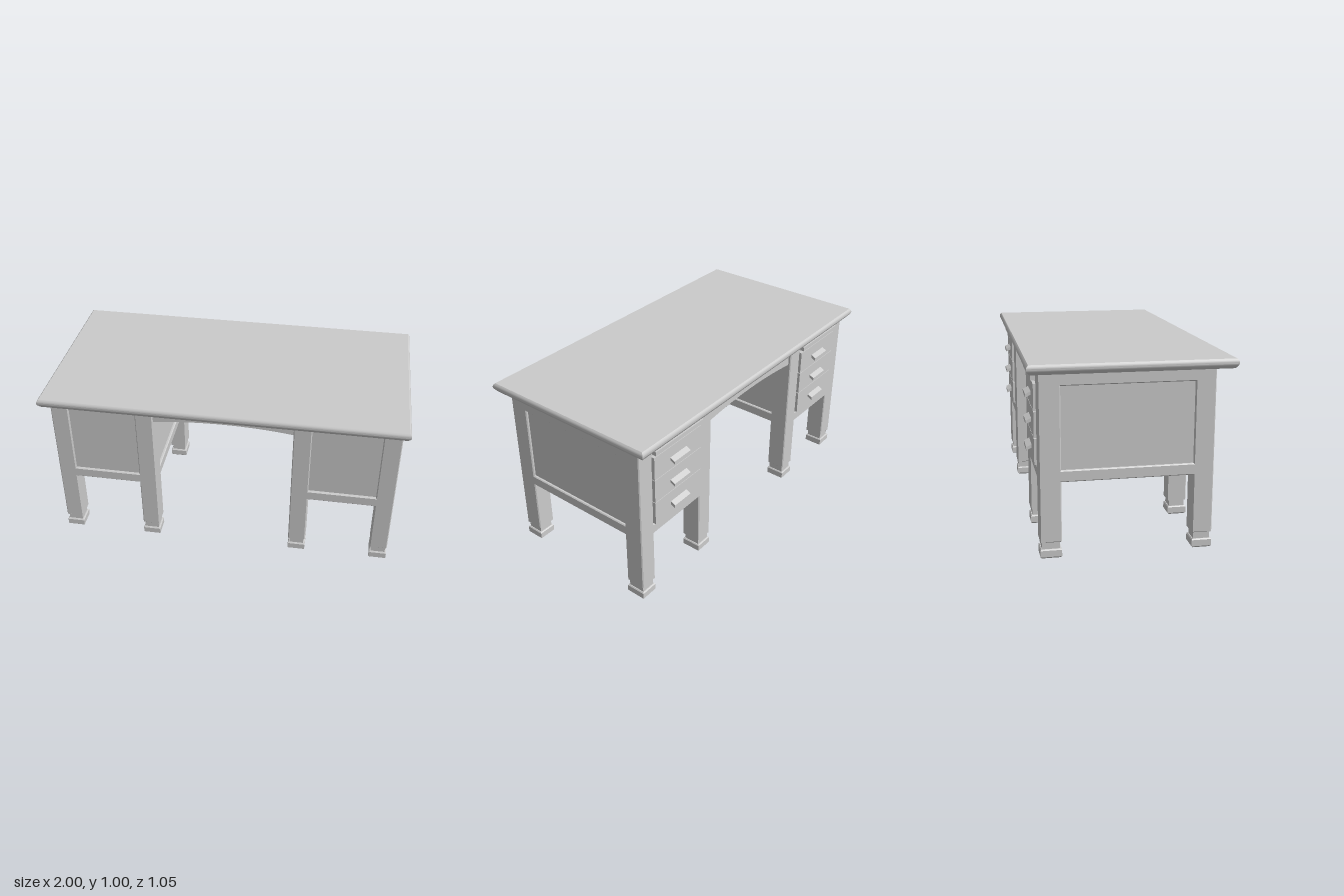
import * as THREE from 'three';
import { toCreasedNormals } from 'three/addons/utils/BufferGeometryUtils.js';

const material = new THREE.MeshStandardMaterial({ color: 0xcccccc });

function add(parent, name, geometry, x = 0, y = 0, z = 0) {
  const mesh = new THREE.Mesh(geometry, material);
  mesh.name = name;
  mesh.position.set(x, y, z);
  parent.add(mesh);
  return mesh;
}

// Box given by its extents
function addBox(parent, name, x0, x1, y0, y1, z0, z1) {
  return add(parent, name, new THREE.BoxGeometry(x1 - x0, y1 - y0, z1 - z0),
    (x0 + x1) / 2, (y0 + y1) / 2, (z0 + z1) / 2);
}

// Rectangular block with a moulded edge; profile is [inset, y] from bottom to top
function mouldedBlock(w, d, profile) {
  const k = Math.min(w, d) / 4;
  const pts = profile.map(([inset, y]) => new THREE.Vector2((k - inset) * Math.SQRT2, y));
  pts.unshift(new THREE.Vector2(0, profile[0][1]));
  pts.push(new THREE.Vector2(0, profile[profile.length - 1][1]));
  const g = new THREE.LatheGeometry(pts, 4, Math.PI / 4);
  const p = g.attributes.position;
  for (let i = 0; i < p.count; i++) {
    const x = p.getX(i), z = p.getZ(i);
    if (Math.hypot(x, z) < 1e-6) continue;
    p.setXYZ(i, x + Math.sign(x) * (w / 2 - k), p.getY(i), z + Math.sign(z) * (d / 2 - k));
  }
  return toCreasedNormals(g, 0.6);
}

const LEG_Y = 0.085, RAIL_Y = 0.4, TOP_Y = 0.95;
const FRONT = 0.42, BACK = -0.47, HALF = 0.29;   // pedestal extents
const LEG_X = 0.1, LEG_F = 0.105, LEG_B = 0.11;  // leg sizes

// One face of a pedestal: two legs joined by rails around an opening
function frameGeometry(u0, u1, a, b) {
  const bevel = 0.005, thick = 0.03;
  const s = new THREE.Shape([
    [u0, LEG_Y], [u0 + a, LEG_Y], [u0 + a, RAIL_Y], [u1 - b, RAIL_Y],
    [u1 - b, LEG_Y], [u1, LEG_Y], [u1, TOP_Y], [u0, TOP_Y],
  ].map(p => new THREE.Vector2(...p)));
  s.holes.push(new THREE.Path([
    [u0 + a, 0.46], [u0 + a, 0.885], [u1 - b, 0.885], [u1 - b, 0.46],
  ].map(p => new THREE.Vector2(...p))));
  const g = new THREE.ExtrudeGeometry(s, {
    depth: thick - 2 * bevel, bevelSize: bevel, bevelThickness: bevel,
    bevelOffset: -bevel, bevelSegments: 1,
  });
  return g.translate(0, 0, bevel - thick); // outer face at z = 0
}

function createPedestal() {
  const g = new THREE.Group();

  // Four framed faces
  add(g, 'frontFrame', frameGeometry(-HALF, HALF, LEG_X, LEG_X), 0, 0, FRONT);
  add(g, 'backFrame', frameGeometry(-HALF, HALF, LEG_X, LEG_X), 0, 0, BACK).rotation.y = Math.PI;
  add(g, 'leftFrame', frameGeometry(-FRONT, -BACK, LEG_F, LEG_B), HALF).rotation.y = Math.PI / 2;
  add(g, 'rightFrame', frameGeometry(BACK, FRONT, LEG_B, LEG_F), -HALF).rotation.y = -Math.PI / 2;

  // Inner carcass showing as recessed panels and underside
  const r = 0.014;
  addBox(g, 'carcass', -HALF + r, HALF - r, RAIL_Y + 0.006, TOP_Y - 0.004, BACK + r, FRONT - r);

  // Leg cores, necks and feet
  for (const sx of [-1, 1]) {
    for (const [outer, depth, sz] of [[FRONT, LEG_F, 1], [BACK, LEG_B, -1]]) {
      const xs = [sx * (HALF - 0.01), sx * (HALF - LEG_X)].sort((p, q) => p - q);
      const zs = [outer - sz * 0.01, outer - sz * depth].sort((p, q) => p - q);
      addBox(g, 'legCore', ...xs, LEG_Y, RAIL_Y + 0.02, ...zs);
      const cx = sx * (HALF - LEG_X / 2), cz = outer - sz * depth / 2;
      add(g, 'legNeck', mouldedBlock(LEG_X - 0.018, depth - 0.018,
        [[0, 0.04], [0, LEG_Y + 0.005]]), cx, 0, cz);
      add(g, 'foot', mouldedBlock(LEG_X, depth,
        [[0.009, 0], [0, 0.009], [0, 0.043], [0.005, 0.049]]), cx, 0, cz);
    }
  }

  // Three drawers with sloping pulls
  const pull = new THREE.Shape([
    [0, 0.009], [0, -0.009], [0.03, -0.024], [0.03, -0.006],
  ].map(p => new THREE.Vector2(...p)));
  const pullGeometry = new THREE.ExtrudeGeometry(pull, { depth: 0.13, bevelEnabled: false })
    .translate(0, 0, -0.065).rotateY(Math.PI / 2);
  const face = -0.482, w = 0.188;
  for (let i = 0; i < 3; i++) {
    const y0 = 0.465 + i * 0.139;
    addBox(g, 'drawerFront', -w, w, y0, y0 + 0.135, face, BACK + 0.02);
    add(g, 'drawerPull', pullGeometry, 0, 0.529 + i * 0.139, face + 0.002);
  }

  // Pull-out writing slide
  addBox(g, 'writingSlide', -w, w, 0.896, 0.92, -0.495, BACK + 0.02);
  return g;
}

export function createModel() {
  const model = new THREE.Group();
  model.name = 'desk';

  // Desk top with rounded, mitred edge
  add(model, 'deskTop', mouldedBlock(2, 1.05, [
    [0.016, 0.945], [0.004, 0.961], [0, 0.97], [0, 0.978], [0.004, 0.988], [0.011, 0.995],
  ]));

  // Pedestals
  for (const [name, x] of [['leftPedestal', 0.68], ['rightPedestal', -0.68]]) {
    const p = createPedestal();
    p.name = name;
    p.position.x = x;
    model.add(p);
  }

  // Arched aprons over the knee space
  const apron = new THREE.Shape();
  apron.moveTo(-0.395, 0.835);
  apron.quadraticCurveTo(0, 0.887, 0.395, 0.835);
  apron.lineTo(0.395, 0.95);
  apron.lineTo(-0.395, 0.95);
  apron.closePath();
  const apronGeometry = new THREE.ExtrudeGeometry(apron, { depth: 0.025, bevelEnabled: false, curveSegments: 16 });
  add(model, 'frontApron', apronGeometry, 0, 0, 0.38);
  add(model, 'backApron', apronGeometry, 0, 0, -0.455);

  return model;
}
